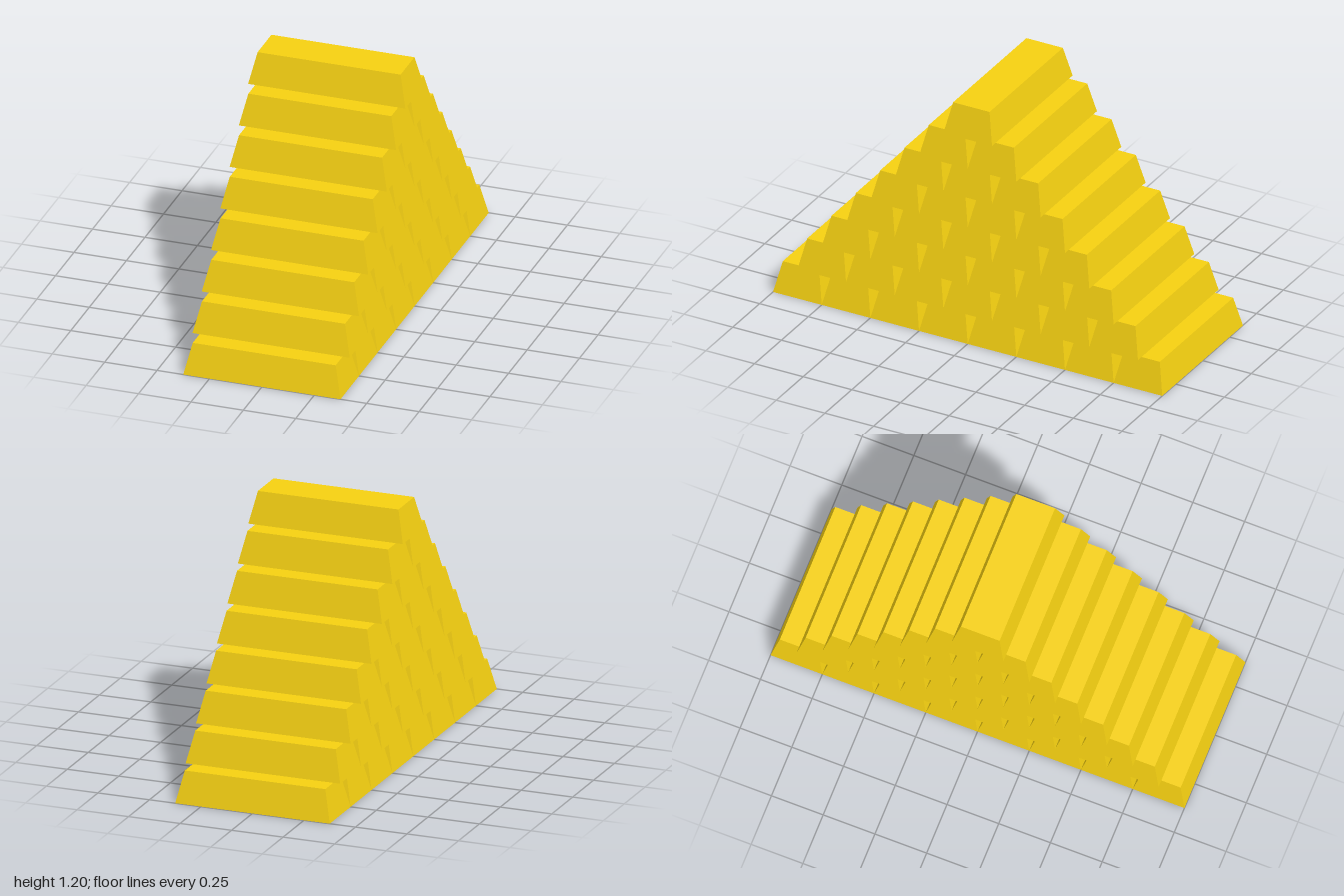
import * as THREE from 'three';

const ROWS = 8, LENGTH = 0.75, HEIGHT = 0.15, DEPTH = 0.25;
const TOP_LENGTH = 0.682, TOP_DEPTH = 0.187;

// Ingot: a box whose top face is drawn in on all four sides, resting on y = 0
function ingotGeometry() {
  const geometry = new THREE.BoxGeometry(LENGTH, HEIGHT, DEPTH);
  geometry.translate(0, HEIGHT / 2, 0);
  const p = geometry.attributes.position;
  for (let i = 0; i < p.count; i++) {
    if (p.getY(i) < HEIGHT / 2) continue;
    p.setX(i, Math.sign(p.getX(i)) * TOP_LENGTH / 2);
    p.setZ(i, Math.sign(p.getZ(i)) * TOP_DEPTH / 2);
  }
  geometry.computeVertexNormals();
  return geometry;
}

export function createModel() {
  const model = new THREE.Group();
  model.name = 'ingotStack';
  const geometry = ingotGeometry();
  const material = new THREE.MeshStandardMaterial({ color: 0xf5d011, flatShading: true });

  // Each layer holds one ingot fewer and sits half an ingot further in
  for (let row = 0; row < ROWS; row++) {
    const layer = new THREE.Group();
    layer.name = `layer${row + 1}`;
    layer.position.y = row * HEIGHT;
    const count = ROWS - row;
    for (let i = 0; i < count; i++) {
      const ingot = new THREE.Mesh(geometry, material);
      ingot.name = `ingot${i + 1}`;
      ingot.position.z = (i - (count - 1) / 2) * DEPTH;
      layer.add(ingot);
    }
    model.add(layer);
  }
  return model;
}
